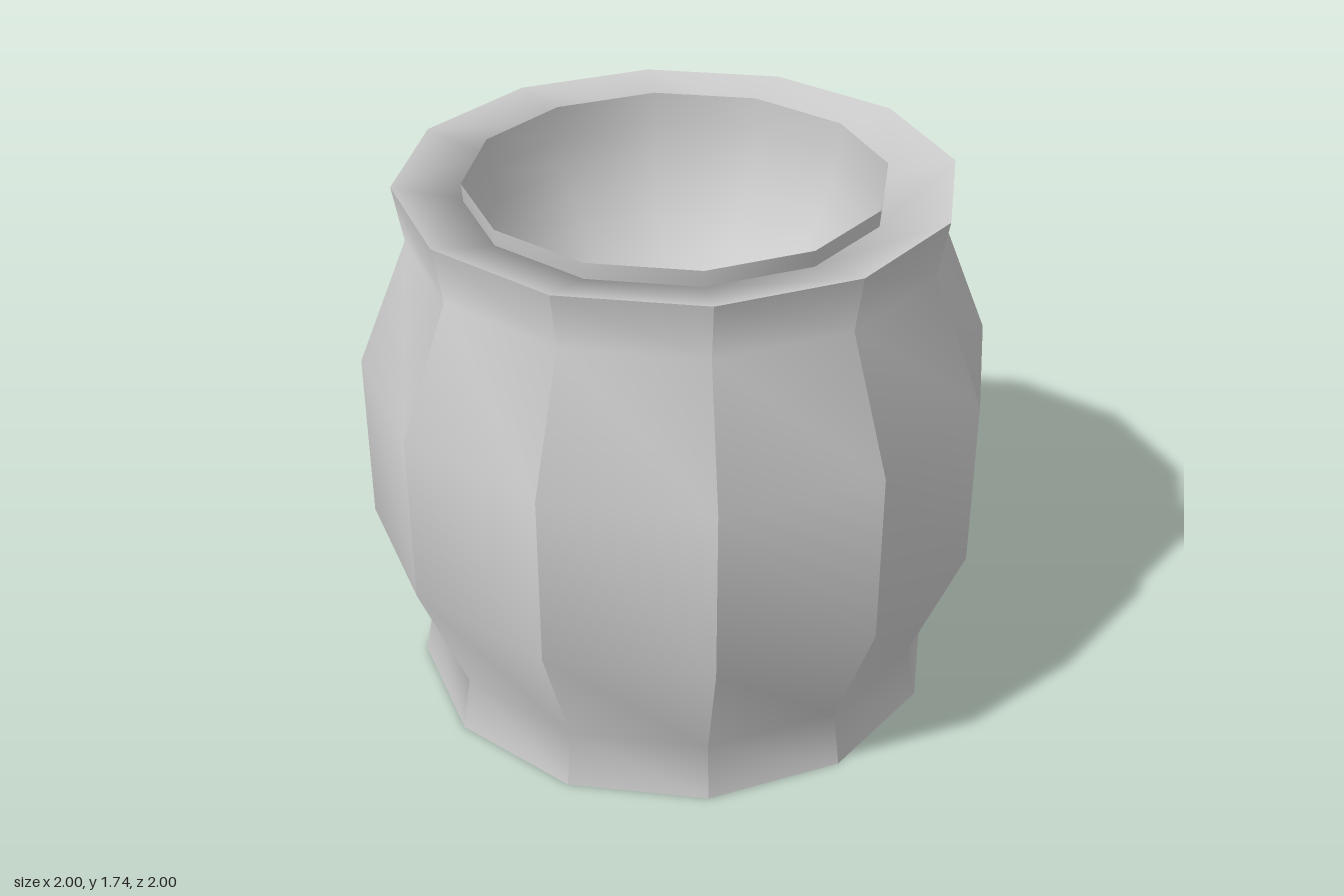
import * as THREE from 'three';
import { mergeGeometries } from 'three/addons/utils/BufferGeometryUtils.js';

const SIDES = 12;
const points = (list) => list.map(([r, y]) => new THREE.Vector2(r, y));

export function createModel() {
  const group = new THREE.Group();
  const material = new THREE.MeshStandardMaterial({ color: 0xcccccc });
  const thin = new THREE.MeshStandardMaterial({ color: 0xcccccc, side: THREE.DoubleSide });
  const add = (name, geometry, mat = material) => {
    const mesh = new THREE.Mesh(geometry, mat);
    mesh.name = name;
    group.add(mesh);
  };

  // Bulging body: each stave is flat across and smooth along its height
  const profile = points([
    [0.866, 0], [0.835, 0.18], [1, 0.59], [1, 1.15], [0.835, 1.56], [0.866, 1.74],
  ]);
  const step = (Math.PI * 2) / SIDES;
  const staves = [];
  for (let i = 0; i < SIDES; i++) {
    const stave = new THREE.LatheGeometry(profile, 1, i * step, step);
    stave.computeVertexNormals();
    staves.push(stave);
  }
  add('body', mergeGeometries(staves));

  // Flat underside
  add('base', new THREE.CircleGeometry(0.866, SIDES).rotateX(Math.PI / 2));

  // Rim sloping inwards, turning down behind the bowl
  add('rim', new THREE.LatheGeometry(points([[0.866, 1.74], [0.655, 1.69], [0.67, 1.4]]), SIDES), thin);

  // Round bowl whose thin lip stands above the inner edge of the rim
  const radius = 0.655;
  const bowl = [];
  for (let i = 0; i <= 10; i++) {
    const a = (i / 10) * Math.PI / 2;
    bowl.push([i === 10 ? 0 : radius * Math.cos(a), 1.74 - radius * Math.sin(a)]);
  }
  add('bowl', new THREE.LatheGeometry(points(bowl), SIDES), thin);

  return group;
}
